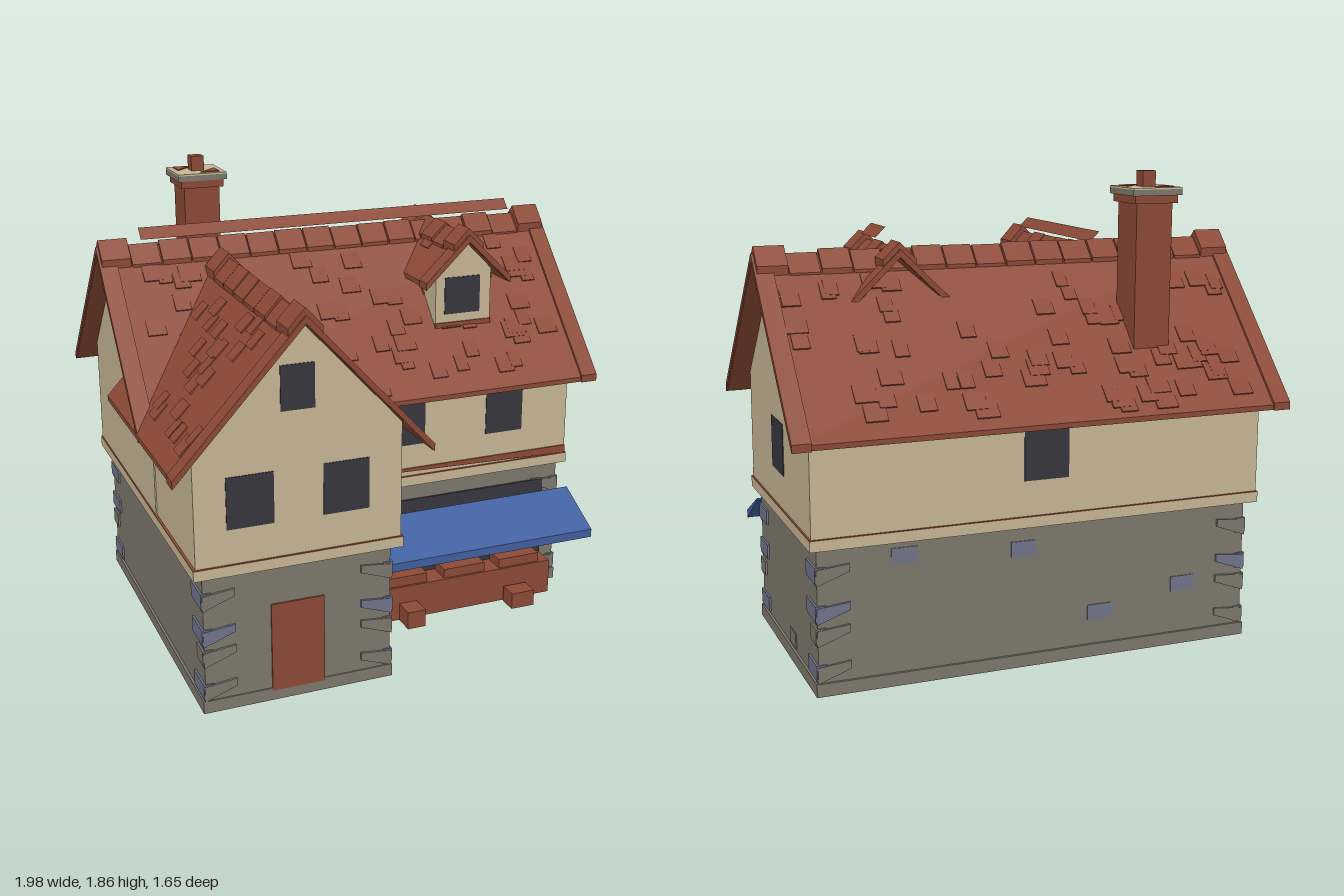
import * as THREE from 'three';

const mat = (name, color) => {
  const m = new THREE.MeshStandardMaterial({ color });
  m.name = name;
  return m;
};

export function createModel() {
  const brick = mat('brick red', 0x8c4936);
  const plaster = mat('cream plaster', 0xc6b695);
  const stone = mat('grey stone', 0x7d786b);
  const slate = mat('blue grey stone', 0x71748a);
  const dark = mat('dark opening', 0x37363e);
  const blue = mat('awning blue', 0x4160a0);

  const house = new THREE.Group();
  house.name = 'house';

  let seed = 7;
  const rand = () => (seed = (seed * 16807) % 2147483647) / 2147483647;

  const add = (name, geo, material, parent = house) => {
    const m = new THREE.Mesh(geo, material);
    m.name = name;
    parent.add(m);
    return m;
  };
  // box given by its limits on each axis
  const box = (name, material, x0, x1, y0, y1, z0, z1) => {
    const m = add(name, new THREE.BoxGeometry(x1 - x0, y1 - y0, z1 - z0), material);
    m.position.set((x0 + x1) / 2, (y0 + y1) / 2, (z0 + z1) / 2);
    return m;
  };
  // polygon extruded along z
  const prism = (points, z0, z1) => {
    const shape = new THREE.Shape(points.map(([x, y]) => new THREE.Vector2(x, y)));
    return new THREE.ExtrudeGeometry(shape, { depth: z1 - z0, bevelEnabled: false }).translate(0, 0, z0);
  };
  // folded strip: two slopes of half width w, from apex a down to eave e
  const chevron = (w, e, a, t, z0, z1) =>
    prism([[-w, e - t], [0, a - t], [w, e - t], [w, e], [0, a], [-w, e]], z0, z1);

  // Stone ground floor on a plinth rim, the floor set in from below
  box('mainStoneWall', stone, -0.86, 0.89, 0.04, 0.57, -0.69, 0.2);
  box('wingStoneWall', stone, -0.86, -0.12, 0.04, 0.57, 0.19, 0.72);
  const plinth = (name, x0, x1, z0, z1) => {
    const t = 0.014;
    box(name, stone, x0, x1, 0, 0.05, z1 - t, z1);
    box(name, stone, x0, x1, 0, 0.05, z0, z0 + t);
    box(name, stone, x0, x0 + t, 0, 0.05, z0 + t, z1 - t);
    box(name, stone, x1 - t, x1, 0, 0.05, z0 + t, z1 - t);
  };
  plinth('mainPlinth', -0.87, 0.9, -0.7, 0.21);
  plinth('wingPlinth', -0.87, -0.11, 0.21, 0.725);

  // Corner stones: slate along the sides, wedges on the front and back
  const corners = [[-0.86, 0.72, 1, -1], [-0.12, 0.72, -1, -1], [0.89, 0.2, -1, -1],
    [0.89, -0.69, -1, 1], [-0.86, -0.69, 1, 1]];
  for (const [cx, cz, dx, dz] of corners) {
    [0.09, 0.23, 0.315, 0.46].forEach((y, i) => {
      const lz = i === 1 ? 0.08 : 0.13;
      const side = add('cornerStone', new THREE.BoxGeometry(0.04, 0.06, lz), i === 1 ? stone : slate);
      side.position.set(cx + dx * 0.012, y, cz + dz * (lz / 2 - 0.006));
      const wedge = add('cornerWedge',
        prism([[0, -0.04], [0.125, 0.005], [0.125, 0.035], [0, 0.022]], -0.02, 0.02), i === 2 ? slate : stone);
      wedge.rotation.y = dx > 0 ? 0 : Math.PI;
      wedge.position.set(cx - dx * 0.004, y, cz + dz * 0.011);
    });
  }
  // Single stones on the walls
  for (const [x, y] of [[0.09, 0.47], [-0.23, 0.18], [-0.59, 0.25], [0.56, 0.5]])
    box('wallStone', slate, x - 0.05, x + 0.05, y - 0.03, y + 0.03, -0.694, -0.68);
  box('wallStone', stone, 0.88, 0.894, 0.06, 0.12, -0.36, -0.27);
  box('wallStone', stone, -0.13, -0.115, 0.28, 0.34, 0.33, 0.43);
  box('wallStone', slate, -0.13, -0.115, 0.06, 0.12, 0.49, 0.57);
  for (const y of [0.28, 0.43]) box('wallStone', slate, -0.13, -0.112, y, y + 0.06, 0.2, 0.31);

  // Plaster upper floors with gables
  const mainGable = prism([[-0.47, 0.56], [0.47, 0.56], [0.47, 1.04], [0, 1.542], [-0.47, 1.04]], -0.905, 0.905);
  const mainWall = add('mainPlasterWall', mainGable, plaster);
  mainWall.rotation.y = -Math.PI / 2;
  mainWall.position.set(0.01, 0, -0.25);
  const wingGable = prism([[-0.4, 0.56], [0.4, 0.56], [0.4, 1.06], [0, 1.493], [-0.4, 1.06]], 0.1, 0.75);
  add('wingPlasterWall', wingGable, plaster).position.x = -0.49;

  // Plaster bands topped by a thin brick ledge
  const band = (name, x0, x1, z0, z1) => {
    box(name, plaster, x0, x1, 0.56, 0.6, z0, z1);
    box('brickLedge', brick, x0, x1, 0.6, 0.604, z0, z1);
  };
  band('mainPlasterBand', -0.9, 0.922, -0.727, 0.227);
  band('wingPlasterBand', -0.9, -0.083, 0.2, 0.757);

  // Thin tapered brick courses above the bands
  add('brickCourse', prism([[-0.08, 0.631], [0.915, 0.604], [0.915, 0.638], [-0.08, 0.638]], 0.22, 0.226), brick);
  const sideCourse = add('brickCourse',
    prism([[-0.23, 0.6], [-0.23, 0.607], [-0.65, 0.63], [-0.69, 0.6]], 0, 0.006), brick);
  sideCourse.rotation.y = Math.PI / 2;
  sideCourse.position.x = -0.09;

  // Stone patches beneath the roof joint
  box('wingStonePatch', stone, -0.1, -0.084, 0.83, 1.0, 0.2, 0.42);
  const patch = add('gableStonePatch',
    prism([[-0.2, 0.97], [0.2, 0.97], [0.2, 1.05], [-0.2, 1.47]], 0, 0.008), stone);
  patch.rotation.y = -Math.PI / 2;
  patch.position.x = -0.892;

  // Roofs with ridge caps, raised gable edges and scattered loose tiles
  const roof = (name, w, e, a, z0, z1, tiles, bothEnds) => {
    const g = new THREE.Group();
    g.name = name;
    house.add(g);
    add('roofSlopes', chevron(w, e, a, 0.02, z0, z1), brick, g);
    const edge = 0.065;
    const trim = (p, q) => add('gableEdge', chevron(w + 0.006, e + 0.008, a + 0.012, 0.03, p, q), brick, g);
    trim(z1 - edge, z1 + 0.006);
    if (bothEnds) trim(z0 - 0.006, z0 + edge);
    const k = (a - e) / w;
    const n = Math.max(3, Math.round((z1 - z0) / 0.12));
    const step = (z1 - z0) / n;
    for (let i = 0; i < n; i++) {
      const top = a + 0.008 + (i === 0 || i === n - 1 ? 0.03 : rand() * 0.014);
      add('ridgeCap', chevron(0.065, top - 0.065 * k, top, 0.035,
        z0 + i * step + 0.003, z0 + (i + 1) * step - 0.003), brick, g);
    }
    for (let i = 0; i < tiles; i++) {
      const side = i % 2 ? 1 : -1;
      const s = 0.15 + 0.78 * rand();
      const t = add('roofTile', new THREE.BoxGeometry(0.075, 0.008, 0.05 + 0.04 * rand()), brick, g);
      t.position.set(side * w * s, a - (a - e) * s + 0.001, z0 + 0.1 + (z1 - z0 - 0.2) * rand());
      t.rotation.z = -side * (Math.atan(k) - 0.05);
    }
    return g;
  };
  const mainRoof = roof('mainRoof', 0.56, 0.97, 1.56, -0.98, 0.98, 130, true);
  mainRoof.rotation.y = -Math.PI / 2;
  mainRoof.position.set(0.012, 0, -0.25);
  roof('wingRoof', 0.488, 0.98, 1.512, -0.17, 0.825, 50, false).position.x = -0.488;
  roof('dormerRoof', 0.185, 1.39, 1.57, -0.4, 0.145, 6, true).position.x = 0.47;

  // Ridge boards: thin sloping strips along one side of each ridge
  const ridgeBoard = (length, x, y, z, turn) => {
    const strip = new THREE.PlaneGeometry(length, 0.057).rotateX(-Math.PI / 4).rotateY(turn);
    add('ridgeBoard', strip, brick).position.set(x, y, z);
  };
  ridgeBoard(1.63, 0.015, 1.615, -0.23, 0);
  ridgeBoard(0.76, -0.47, 1.57, 0.28, Math.PI / 2);
  ridgeBoard(0.19, 0.49, 1.63, -0.125, Math.PI / 2);

  // Dormer
  add('dormerWall', prism([[-0.125, 1.15], [0.125, 1.15], [0.125, 1.425], [0, 1.55], [-0.125, 1.425]], -0.22, 0.1),
    plaster).position.x = 0.47;
  box('dormerSill', brick, 0.345, 0.595, 1.19, 1.21, 0.09, 0.106);

  // Windows
  const flatWindow = (x0, x1, y0, y1, z) => box('window', dark, x0, x1, y0, y1, z - 0.003, z + 0.003);
  flatWindow(-0.56, -0.43, 1.16, 1.33, 0.75);
  flatWindow(-0.77, -0.59, 0.74, 0.94, 0.75);
  flatWindow(-0.4, -0.22, 0.74, 0.94, 0.75);
  flatWindow(0.07, 0.25, 0.74, 0.94, 0.22);
  flatWindow(0.53, 0.7, 0.74, 0.94, 0.22);
  flatWindow(0.385, 0.545, 1.245, 1.4, 0.1);
  flatWindow(-0.08, 0.1, 0.74, 0.94, -0.72);
  box('sideWindow', dark, 0.912, 0.918, 0.74, 0.94, -0.335, -0.155);
  box('sideWindow', dark, 0.912, 0.918, 1.18, 1.34, -0.32, -0.175);

  // Door and shop front
  box('door', brick, -0.6, -0.39, 0.04, 0.4, 0.718, 0.727);
  box('shopOpening', dark, -0.06, 0.82, 0.05, 0.49, 0.205, 0.213);
  box('counter', brick, 0.02, 0.81, 0, 0.15, 0.2, 0.32);
  for (const x of [0.04, 0.31, 0.57]) box('counterTray', brick, x, x + 0.19, 0.14, 0.19, 0.22, 0.31);
  box('crate', brick, 0.1, 0.18, 0, 0.075, 0.32, 0.41);
  box('crate', brick, 0.585, 0.69, 0, 0.07, 0.33, 0.41);
  const awning = add('awning',
    prism([[-0.31, 0.47], [-0.31, 0.48], [-0.525, 0.37], [-0.525, 0.335]], -0.11, 0.885), blue);
  awning.rotation.y = Math.PI / 2;

  // Chimney
  box('chimneyStack', brick, -0.55, -0.4, 1.15, 1.78, -0.605, -0.45);
  box('chimneyCollar', brick, -0.565, -0.385, 1.74, 1.77, -0.62, -0.435);
  box('chimneyCap', stone, -0.578, -0.372, 1.77, 1.793, -0.63, -0.43);
  box('chimneyCapTop', plaster, -0.578, -0.372, 1.793, 1.8, -0.63, -0.43);
  for (const s of [-1, 1]) {
    const corner = add('capBrick', prism([[0, 0], [0.08, 0], [0, 0.08]], 0, 0.006), brick);
    corner.rotation.set(-Math.PI / 2, 0, s > 0 ? -Math.PI / 2 : Math.PI / 2);
    corner.position.set(-0.475 - s * 0.078, 1.798, -0.53 - s * 0.078);
  }
  box('chimneyPot', brick, -0.502, -0.448, 1.79, 1.86, -0.557, -0.503);
  return house;
}
